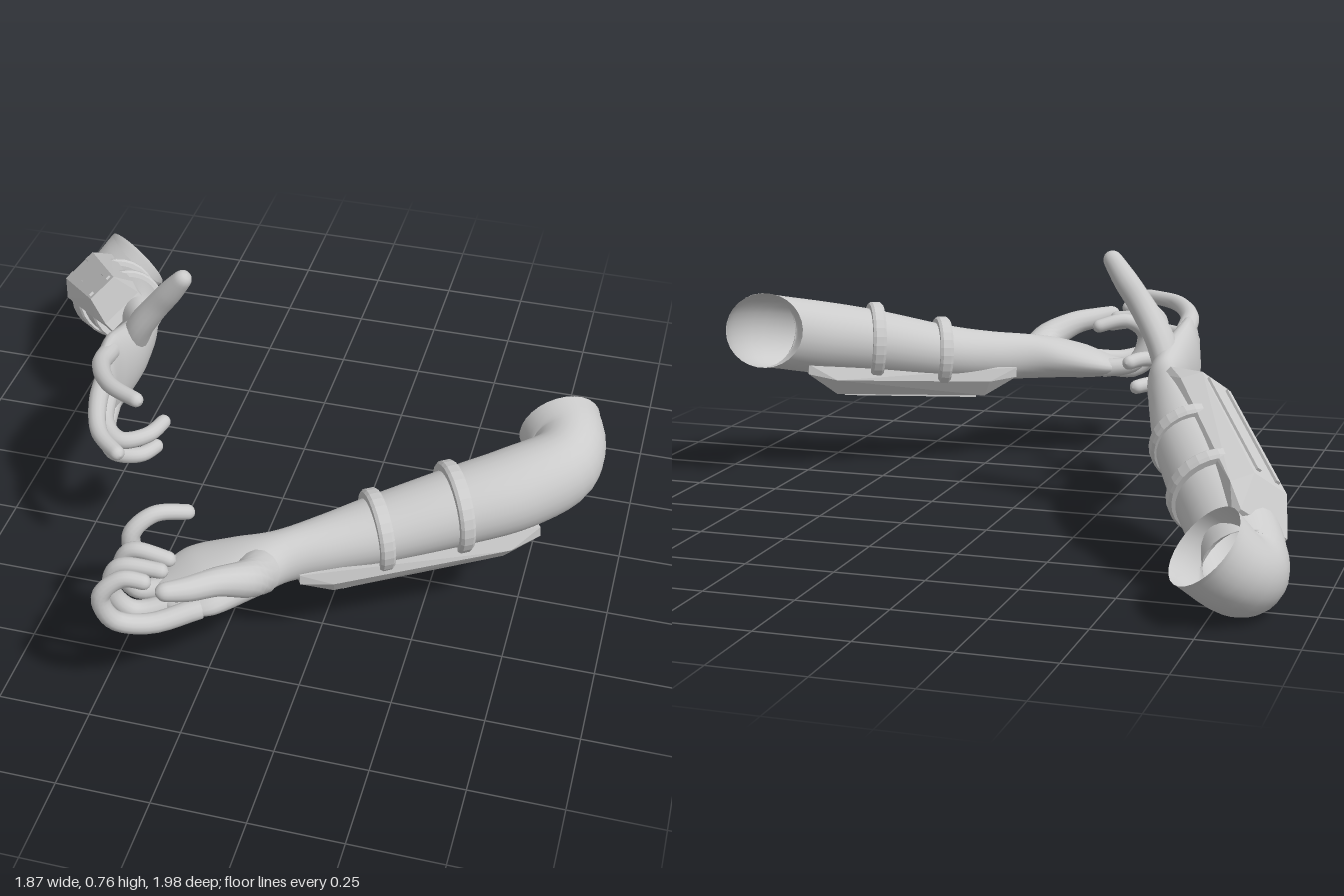
import * as THREE from 'three';
import { ConvexGeometry } from 'three/addons/geometries/ConvexGeometry.js';

const V = (p) => new THREE.Vector3(p[0], p[1], p[2]);
const skin = new THREE.MeshStandardMaterial({ color: 0xcccccc, side: THREE.DoubleSide });
const hard = new THREE.MeshStandardMaterial({ color: 0xcccccc, flatShading: true });

// Smooth elliptical sweep through [x, y, z, halfSizeAlongRef, halfSizeAcross]; open start, rounded end
function loft(sections, ref, rings, sides) {
  const path = new THREE.CatmullRomCurve3(sections.map(V));
  const size = new THREE.CatmullRomCurve3(
    sections.map((s) => new THREE.Vector3(s[3], s[4] ?? s[3], 0)), false, 'catmullrom');
  const end = path.getPoint(1), pos = [], index = [];
  for (let i = 0; i <= rings; i++) {
    const t = 1 - Math.pow(1 - i / rings, 1.4);
    const c = path.getPoint(t), T = path.getTangent(t), s = size.getPoint(t);
    const W = ref.clone().addScaledVector(T, -ref.dot(T)).normalize();
    const H = T.clone().cross(W);
    const d = Math.min(1, c.distanceTo(end) / s.y);
    const k = Math.max(0.001, Math.sqrt(1 - (1 - d) ** 2));
    for (let j = 0; j < sides; j++) {
      const a = (j / sides) * Math.PI * 2;
      const p = c.clone().addScaledVector(W, Math.cos(a) * s.x * k).addScaledVector(H, Math.sin(a) * s.y * k);
      pos.push(p.x, p.y, p.z);
      if (i < rings) {
        const n = (j + 1) % sides, q = i * sides;
        index.push(q + j, q + n, q + sides + n, q + j, q + sides + n, q + sides + j);
      }
    }
  }
  const g = new THREE.BufferGeometry();
  g.setAttribute('position', new THREE.Float32BufferAttribute(pos, 3));
  g.setIndex(index);
  g.computeVertexNormals();
  return g;
}

function add(parent, name, geometry, material) {
  const m = new THREE.Mesh(geometry, material);
  m.name = name;
  parent.add(m);
  return m;
}

// Flat strap ring around the forearm
function strap(parent, center, axis, radius) {
  const r = radius, h = 0.02;
  const profile = [[r - 0.02, -h], [r, -h], [r + 0.006, -h * 0.6], [r + 0.006, h * 0.6], [r, h], [r - 0.02, h], [r - 0.02, -h]];
  const g = new THREE.LatheGeometry(profile.map((p) => new THREE.Vector2(...p)), 28);
  const m = add(parent, 'strap', g, hard);
  m.position.copy(V(center));
  m.quaternion.setFromUnitVectors(new THREE.Vector3(0, 1, 0), axis);
}

// Bevelled guard: x runs along the forearm, y points away from it
function guard(parent, from, to, outward, width) {
  const a = V(from), b = V(to), T = b.clone().sub(a), L = T.length();
  T.normalize();
  const N = V(outward).addScaledVector(T, -V(outward).dot(T)).normalize();
  const g = new THREE.Group();
  g.name = 'forearmGuard';
  const pts = [];
  for (const x of [-1, 1]) for (const z of [-1, 1]) {
    const w = x > 0 ? width * 0.8 : width;
    pts.push(new THREE.Vector3(x * L * 0.49, 0.045, z * w * 0.85),
      new THREE.Vector3(x * L * 0.49, 0.075, z * w * 0.85),
      new THREE.Vector3(x * L * 0.36, 0.09, z * w),
      new THREE.Vector3(x * L * 0.35, 0.14, z * w * 0.6));
  }
  add(g, 'guardPlate', new ConvexGeometry(pts), hard);
  // Raised rails on the outer face
  for (const z of [-1, 1]) {
    const rail = add(g, 'guardRail', new THREE.BoxGeometry(L * 0.62, 0.012, 0.014), hard);
    rail.position.set(0, 0.141, z * width * 0.35);
  }
  g.matrix.makeBasis(T, N, T.clone().cross(N)).setPosition(a.add(b).multiplyScalar(0.5));
  g.matrix.decompose(g.position, g.quaternion, g.scale);
  parent.add(g);
  return T;
}

function buildArm(spec) {
  const arm = new THREE.Group();
  arm.name = spec.name;
  add(arm, 'forearmAndPalm', loft(spec.arm, new THREE.Vector3(0, 1, 0), 70, 28), skin);
  add(arm, 'thumb', loft(spec.thumb, new THREE.Vector3(0, 0, 1), 26, 14), skin);
  for (const [name, pts] of Object.entries(spec.fingers)) {
    const radii = pts.map((p, i) => [...p, 0.029 - (0.009 * i) / (pts.length - 1)]);
    add(arm, name, loft(radii, V(spec.fingerRef), 32, 14), skin);
  }
  const axis = guard(arm, spec.guard[0], spec.guard[1], spec.outward, spec.guardWidth);
  for (const [c, r] of spec.straps) strap(arm, c, axis, r);
  return arm;
}

export function createModel() {
  const group = new THREE.Group();

  // Right arm: raised open hand with spread thumb
  group.add(buildArm({
    name: 'rightArm',
    arm: [[-0.745, 0.2, -0.88, 0.115], [-0.81, 0.13, -0.835, 0.105], [-0.825, 0.115, -0.765, 0.105],
      [-0.78, 0.17, -0.67, 0.112], [-0.7, 0.25, -0.55, 0.11], [-0.6, 0.34, -0.39, 0.095],
      [-0.515, 0.41, -0.24, 0.078, 0.06], [-0.472, 0.43, -0.13, 0.072, 0.046], [-0.47, 0.435, -0.03, 0.1, 0.052],
      [-0.48, 0.44, 0.08, 0.125, 0.046], [-0.475, 0.45, 0.15, 0.122, 0.036], [-0.468, 0.45, 0.2, 0.11, 0.03]],
    thumb: [[-0.465, 0.46, -0.05, 0.06, 0.04], [-0.43, 0.54, -0.025, 0.055, 0.04], [-0.37, 0.63, -0.005, 0.036],
      [-0.325, 0.69, 0.005, 0.034], [-0.27, 0.765, 0.02, 0.024]],
    fingerRef: [0, 1, 0],
    fingers: {
      indexFinger: [[-0.475, 0.535, 0.12], [-0.463, 0.56, 0.22], [-0.4, 0.58, 0.33], [-0.285, 0.588, 0.4]],
      middleFinger: [[-0.475, 0.485, 0.14], [-0.455, 0.48, 0.28], [-0.405, 0.47, 0.41], [-0.315, 0.47, 0.495]],
      ringFinger: [[-0.475, 0.425, 0.14], [-0.435, 0.41, 0.29], [-0.37, 0.405, 0.345], [-0.305, 0.41, 0.31], [-0.275, 0.41, 0.22]],
      littleFinger: [[-0.475, 0.37, 0.12], [-0.455, 0.35, 0.23], [-0.4, 0.34, 0.32], [-0.33, 0.337, 0.31], [-0.29, 0.335, 0.24]],
    },
    guard: [[-0.81, 0.16, -0.72], [-0.5, 0.41, -0.2]],
    outward: [-0.68, 0.7, 0],
    guardWidth: 0.1,
    straps: [[[-0.705, 0.25, -0.56], 0.12], [[-0.61, 0.335, -0.4], 0.108]],
  }));

  // Left arm: palm up, thumb and index finger forming a ring
  group.add(buildArm({
    name: 'leftArm',
    arm: [[0.8, 0.48, 0.06, 0.112, 0.115], [0.835, 0.468, 0.125, 0.112, 0.1], [0.828, 0.452, 0.2, 0.112, 0.1],
      [0.72, 0.425, 0.295, 0.112, 0.112], [0.58, 0.4, 0.38, 0.104, 0.108], [0.38, 0.36, 0.49, 0.088, 0.095],
      [0.26, 0.345, 0.565, 0.078, 0.075], [0.17, 0.338, 0.625, 0.072, 0.066], [0.09, 0.33, 0.68, 0.065, 0.1],
      [0, 0.315, 0.735, 0.052, 0.128], [-0.07, 0.3, 0.78, 0.038, 0.122], [-0.12, 0.295, 0.81, 0.03, 0.1]],
    thumb: [[0.13, 0.345, 0.71, 0.06], [0.12, 0.375, 0.775, 0.05], [0.06, 0.412, 0.85, 0.038],
      [0, 0.425, 0.91, 0.032], [-0.065, 0.44, 0.96, 0.022]],
    fingerRef: [0.25, 0, 0.97],
    fingers: {
      indexFinger: [[0.01, 0.305, 0.84], [-0.1, 0.295, 0.92], [-0.18, 0.33, 0.965], [-0.205, 0.41, 0.975],
        [-0.155, 0.46, 0.955], [-0.08, 0.455, 0.945]],
      middleFinger: [[-0.02, 0.3, 0.8], [-0.16, 0.28, 0.865], [-0.21, 0.35, 0.885], [-0.19, 0.43, 0.88], [-0.06, 0.435, 0.87]],
      ringFinger: [[-0.06, 0.3, 0.74], [-0.17, 0.29, 0.795], [-0.208, 0.36, 0.81], [-0.18, 0.43, 0.81], [-0.06, 0.42, 0.81]],
      littleFinger: [[-0.08, 0.3, 0.69], [-0.18, 0.32, 0.725], [-0.208, 0.41, 0.73], [-0.16, 0.457, 0.69], [-0.065, 0.44, 0.63]],
    },
    guard: [[0.765, 0.4, 0.275], [0.185, 0.36, 0.61]],
    outward: [0, -1, 0],
    guardWidth: 0.1,
    straps: [[[0.575, 0.402, 0.383], 0.12], [[0.39, 0.362, 0.484], 0.107]],
  }));

  return group;
}
